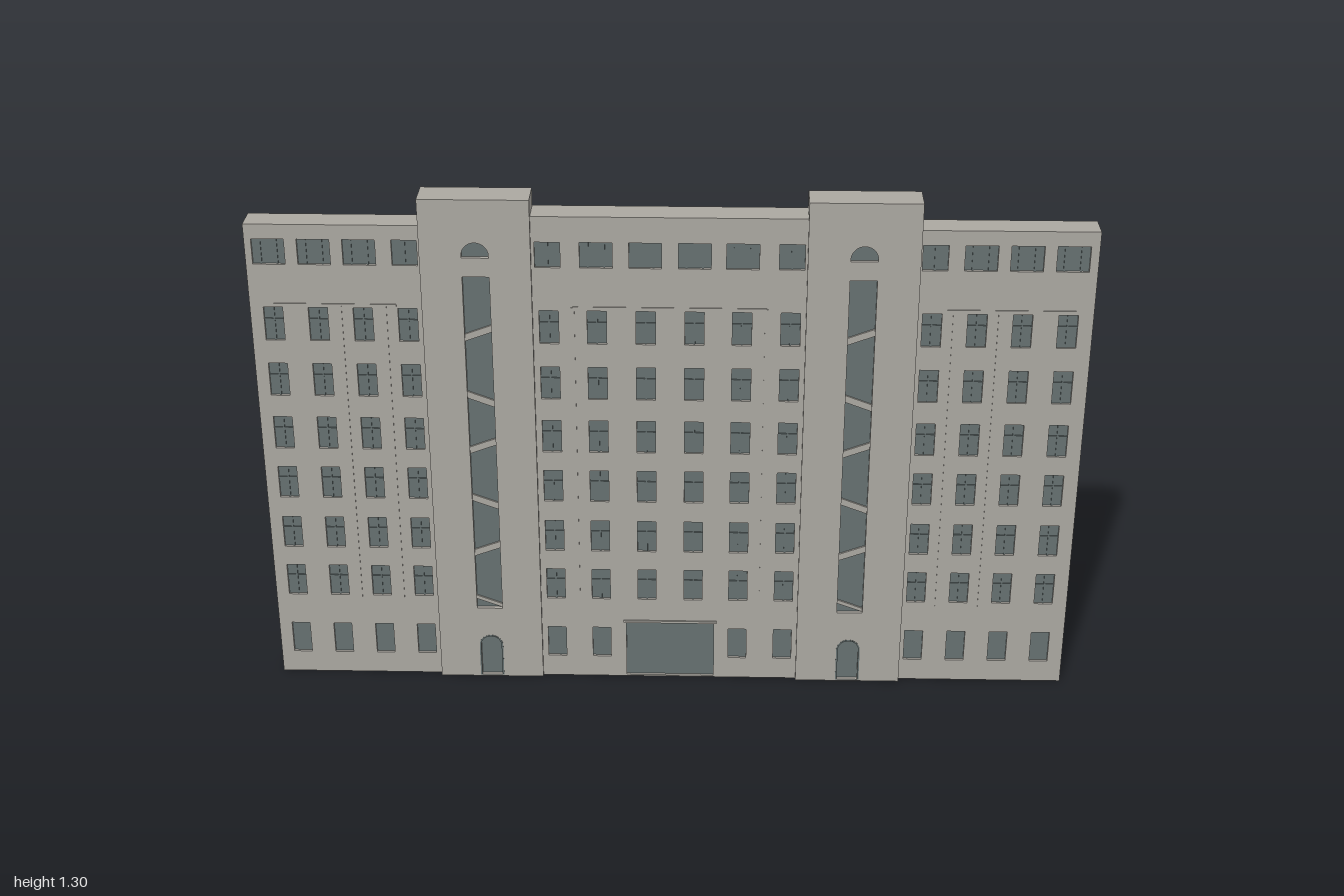
import * as THREE from 'three';

const wallMat = new THREE.MeshStandardMaterial({ color: 0xaaa7a0 });
wallMat.name = 'stone wall';
const glassMat = new THREE.MeshStandardMaterial({ color: 0x657070 });
glassMat.name = 'window glass';

const BACK = -0.042;

function box(parent, name, mat, x0, x1, y0, y1, z0, z1) {
  const mesh = new THREE.Mesh(new THREE.BoxGeometry(x1 - x0, y1 - y0, z1 - z0), mat);
  mesh.position.set((x0 + x1) / 2, (y0 + y1) / 2, (z0 + z1) / 2);
  mesh.name = name;
  parent.add(mesh);
}

// Opening outline: a rectangle, or one with a round head
function trace(path, { x, y, w, h, arch }, grow = 0) {
  const r = w / 2 + grow, top = y + h + grow;
  path.moveTo(x - r, y);
  path.lineTo(x + r, y);
  if (arch) {
    path.lineTo(x + r, top - r);
    path.absarc(x, top - r, r, 0, Math.PI, false);
  } else {
    path.lineTo(x + r, top);
    path.lineTo(x - r, top);
  }
  path.closePath();
  return path;
}

function extrude(parent, name, mat, shape, z0, z1) {
  const geo = new THREE.ExtrudeGeometry(shape, { depth: z1 - z0, bevelEnabled: false, curveSegments: 12 });
  const mesh = new THREE.Mesh(geo, mat);
  mesh.position.z = z0;
  mesh.name = name;
  parent.add(mesh);
}

// Block of the building: solid core, pierced front skin, recessed glazing with bars
function section(name, x0, x1, height, front, recess, openings) {
  const g = new THREE.Group();
  g.name = name;
  const plane = front - recess;
  box(g, 'core', wallMat, x0, x1, 0, height, BACK, plane);
  const skin = new THREE.Shape();
  skin.moveTo(x0, 0);
  skin.lineTo(x1, 0);
  skin.lineTo(x1, height);
  skin.lineTo(x0, height);
  skin.closePath();
  for (const o of openings) {
    skin.holes.push(trace(new THREE.Path(), o));
    extrude(g, 'glass', glassMat, trace(new THREE.Shape(), o), plane, plane + 0.001);
    const { x, y, w, h } = o, b = 0.002, z = plane + 0.004;
    for (const f of o.bars || []) {
      box(g, 'mullion', glassMat, x + f * w - b, x + f * w + b, y, y + h, plane, z);
    }
    if (o.transom) {
      box(g, 'transom', glassMat, x - w / 2, x + w / 2, y + h * 0.62 - b, y + h * 0.62 + b, plane, z);
    }
  }
  extrude(g, 'front skin', wallMat, skin, plane, front);
  return g;
}

const floors = [0.273, 0.412, 0.553, 0.69, 0.834, 0.981];

// Regular window grid; the outer top windows may be narrower
function windowGrid(columns, groundColumns, narrow) {
  const list = [];
  columns.forEach((x, i) => {
    for (const y of floors) list.push({ x, y: y - 0.043, w: 0.046, h: 0.086, bars: [0], transom: true });
    const w = narrow.includes(i) ? 0.06 : 0.077;
    list.push({ x, y: 1.134, w, h: 0.064, bars: w < 0.07 ? [0] : [-0.25, 0.25] });
  });
  for (const x of groundColumns) list.push({ x, y: 0.059, w: 0.046, h: 0.086 });
  return list;
}

// Slim raised strips with a thin moulding between them
function pilasters(g, xs, m0, m1, front) {
  for (const x of xs) box(g, 'pilaster strip', wallMat, x - 0.004, x + 0.004, 0.22, 1.033, front, front + 0.002);
  box(g, 'moulding', wallMat, m0, m1, 1.03, 1.035, front, front + 0.002);
}

function tower(x0, x1, name) {
  const x = (x0 + x1) / 2, front = 0.041, recess = 0.011;
  const door = { x, y: 0.004, w: 0.052, h: 0.115, arch: true };
  const stairWindow = { x, y: 0.203, w: 0.064, h: 0.909 };
  const g = section(name, x0, x1, 1.305, front, recess, [
    door, stairWindow,
    { x, y: 1.16, w: 0.064, h: 0.038, arch: true },
  ]);
  // Door surround
  const ring = trace(new THREE.Shape(), door, 0.004);
  ring.holes.push(trace(new THREE.Path(), { ...door, y: 0.005 }));
  extrude(g, 'door surround', glassMat, ring, front, front + 0.001);
  // Sloping stair flights behind the tall window
  [[0.965, 1], [0.79, -1], [0.663, 1], [0.508, -1], [0.374, 1], [0.221, -1]].forEach(([y, dir]) => {
    const s = new THREE.Shape(), r = 0.032, d = 0.012 * dir, t = y < 0.3 ? 0.005 : 0.009;
    s.moveTo(x - r, y - d - t);
    s.lineTo(x + r, y + d - t);
    s.lineTo(x + r, y + d + t);
    s.lineTo(x - r, y - d + t);
    s.closePath();
    extrude(g, 'stair flight', wallMat, s, front - recess, front - 0.005);
  });
  return g;
}

export function createModel() {
  const model = new THREE.Group();
  model.name = 'buildingFacade';

  // Side wings
  const leftCols = [0.62, 0.727, 0.834, 0.941], rightCols = [-0.945, -0.838, -0.731, -0.624];
  const leftWing = section('leftWing', 0.586, 1, 1.235, 0.028, 0.008, windowGrid(leftCols, leftCols, [0]));
  pilasters(leftWing, [0.673, 0.78], 0.65, 0.965, 0.028);
  const rightWing = section('rightWing', -1, -0.588, 1.235, 0.028, 0.008, windowGrid(rightCols, rightCols, [3]));
  pilasters(rightWing, [-0.678, -0.785], -0.965, -0.65, 0.028);

  // Central block with the wide entrance
  const cols = [-0.288, -0.174, -0.058, 0.058, 0.171, 0.286];
  const openings = windowGrid(cols, [cols[0], cols[1], cols[4], cols[5]], [0, 5]);
  openings.push({ x: 0, y: 0.004, w: 0.222, h: 0.158 });
  const centre = section('centralBlock', -0.326, 0.322, 1.262, 0.032, 0.008, openings);
  pilasters(centre, [-0.231, 0.229], -0.231, 0.229, 0.032);
  box(centre, 'entrance lintel', wallMat, -0.118, 0.118, 0.162, 0.168, 0.032, 0.036);

  // Stair towers
  model.add(leftWing, rightWing, centre, tower(0.322, 0.586, 'leftTower'), tower(-0.588, -0.326, 'rightTower'));
  return model;
}
